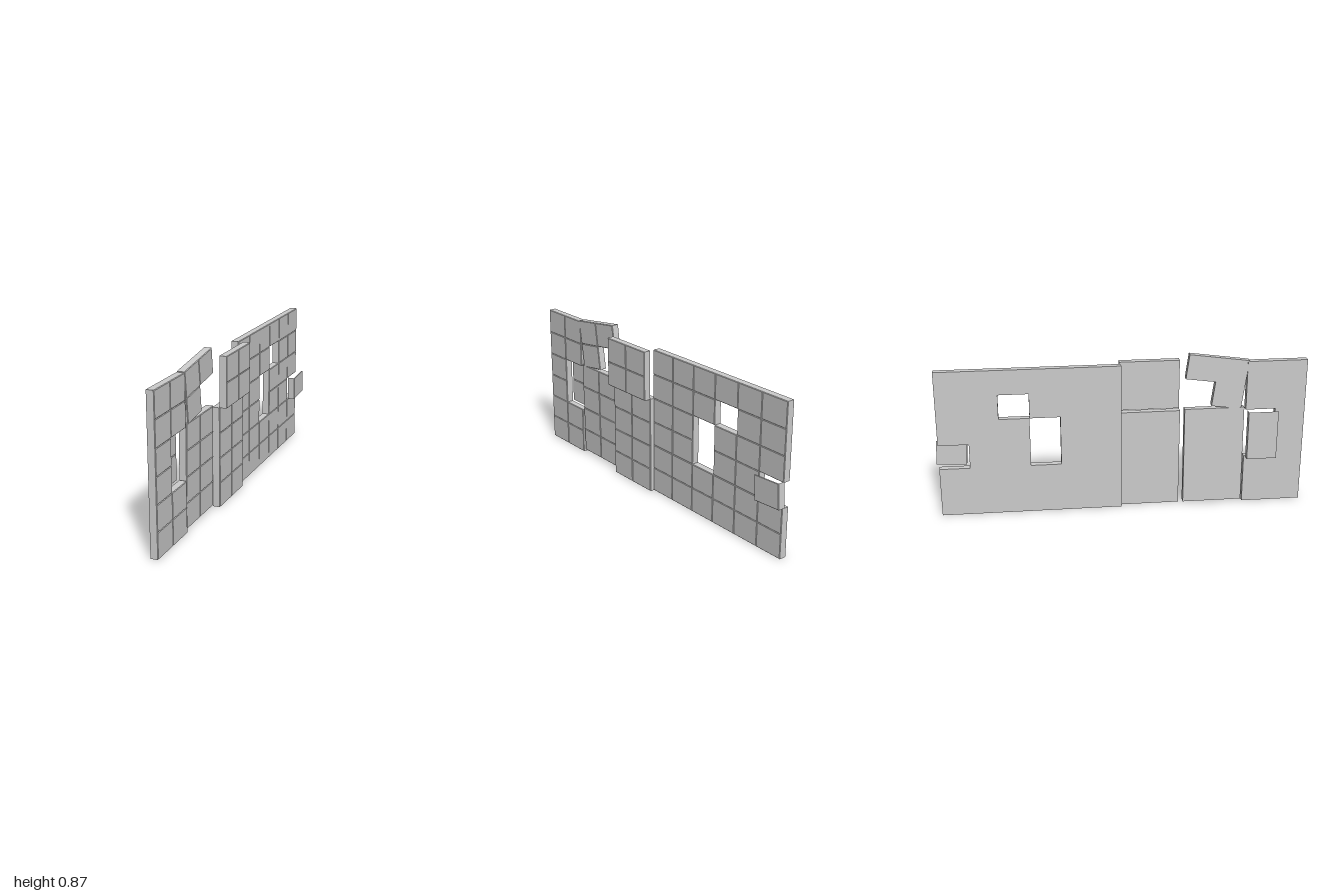
import * as THREE from 'three';

const W = 0.1633, H = 0.1362;   // tile width (along -z) and height
const T = 0.04, B = 0.003;      // slab thickness and tile edge bevel
const material = new THREE.MeshStandardMaterial({ color: 0xcccccc, flatShading: true });

// Slab of bevelled tiles facing +x. Rows run top to bottom, '#' is a tile, '.' a hole.
// The origin is the lower corner of the first column, at the back of the slab.
function slab(name, rows, x, y, z, tilt = 0, lean = 0, capped = true) {
  const pos = [];
  const quad = (a, b, c, d) => pos.push(...a, ...b, ...c, ...a, ...c, ...d);
  const solid = (r, c) => rows[r]?.[c] === '#';

  rows.forEach((row, r) => [...row].forEach((cell, c) => {
    if (cell !== '#') return;
    const u0 = c * W, u1 = u0 + W, v0 = (rows.length - 1 - r) * H, v1 = v0 + H;
    // Loop of corners at one depth, counter-clockwise seen from +x
    const loop = (px, inset) => [
      [px, v0 + inset, -u0 - inset], [px, v0 + inset, -u1 + inset],
      [px, v1 - inset, -u1 + inset], [px, v1 - inset, -u0 - inset],
    ];
    const back = loop(0, 0), rim = loop(T - B, 0), face = loop(T, B);
    quad(...face);
    quad(back[3], back[2], back[1], back[0]);
    // Sides in order: bottom, far end, top, near end
    const neighbours = [solid(r + 1, c), solid(r, c + 1), solid(r - 1, c), solid(r, c - 1)];
    for (let i = 0; i < 4; i++) {
      const j = (i + 1) % 4;
      quad(rim[i], rim[j], face[j], face[i]);
      if (!neighbours[i] && (capped || i % 2 === 1)) quad(back[i], back[j], rim[j], rim[i]);
    }
  }));

  const geometry = new THREE.BufferGeometry();
  geometry.setAttribute('position', new THREE.Float32BufferAttribute(pos, 3));
  geometry.computeVertexNormals();
  const mesh = new THREE.Mesh(geometry, material);
  mesh.name = name;
  mesh.position.set(x, y, z);
  mesh.rotation.set(tilt, 0, lean);
  return mesh;
}

export function createModel() {
  const group = new THREE.Group();
  group.name = 'brokenTiledWall';
  group.add(
    // Upright end section with a notch, and the pieces pushed out behind it
    slab('endPanel', ['##', '##', '#.', '#.', '##', '##'], -0.03, 0, 1),
    slab('pushedBackTiles', ['#', '#'], -0.079, 0.273, 0.843, 0, 0.004, false),
    // Leaning section with its snapped, tilted top
    slab('leaningPanel', ['##', '##', '##', '##'], -0.037, 0.015, 0.664, 0, -0.012),
    slab('tiltedTop', ['##', '#.'], -0.03, 0.552, 0.645, 0.135, -0.008),
    // Section standing forward, its upper tiles further out
    slab('forwardPanel', ['##', '##', '##', '##'], -0.005, 0, 0.316),
    slab('forwardTop', ['##', '##'], 0.035, 0.545, 0.316),
    // Long section with holes, and its loose tile
    slab('longPanel', ['######', '###.##', '##.###', '##.##.', '######', '######'], -0.03, 0, -0.006),
    slab('looseTile', ['#'], 0.013, 0.275, -0.84, 0.06, 0, false),
  );
  return group;
}
